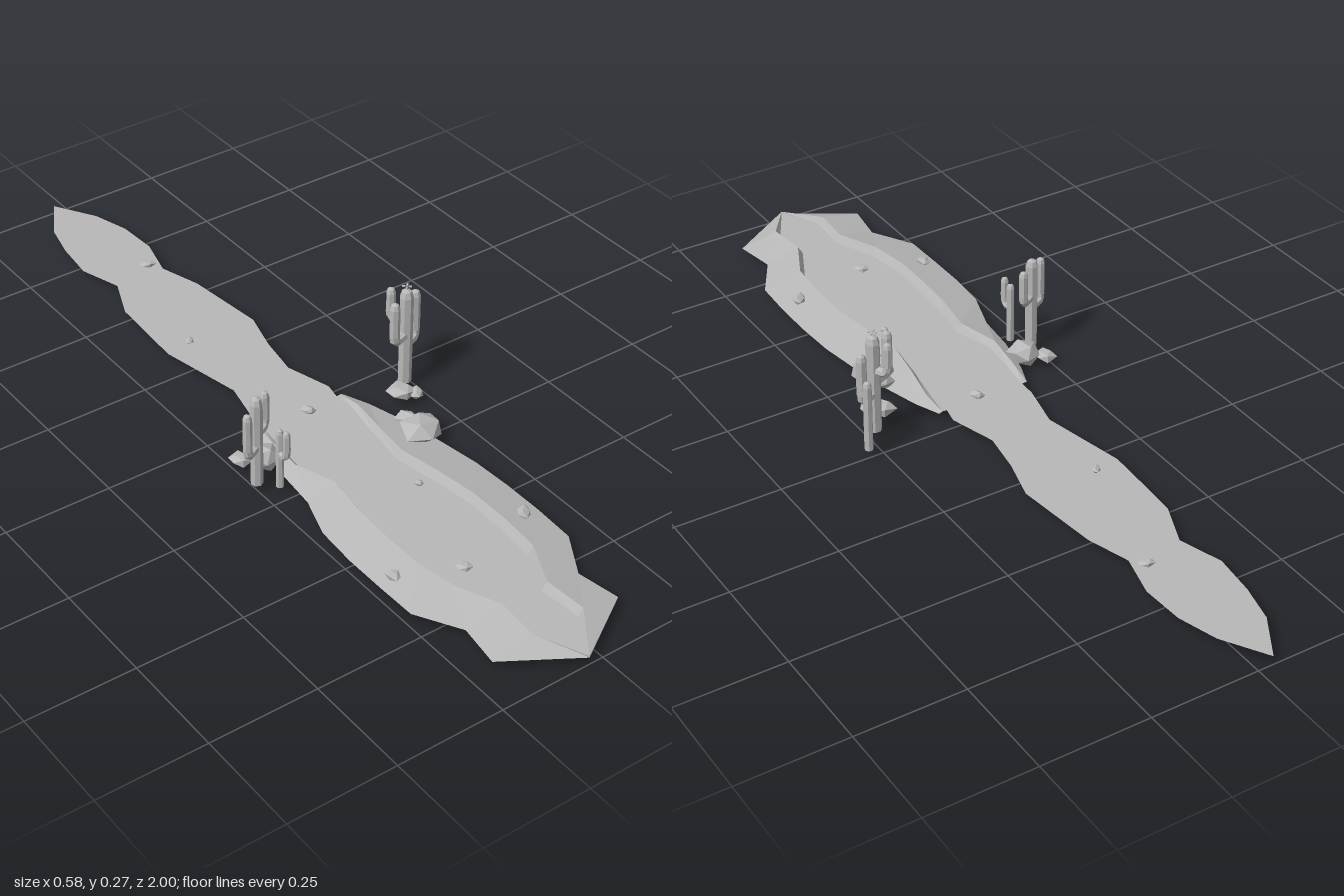
import * as THREE from 'three';

const grey = new THREE.MeshStandardMaterial({ color: 0xb8b8b8, flatShading: true, side: THREE.DoubleSide });
grey.name = 'stone grey';

function add(parent, name, geo, x = 0, y = 0, z = 0) {
  const m = new THREE.Mesh(geo, grey);
  m.name = name;
  m.position.set(x, y, z);
  parent.add(m);
  return m;
}

// Sheet between two edges, each a list of [x, y, z]
function strip(a, b) {
  const pos = [], idx = [];
  a.forEach((p, i) => {
    pos.push(...p, ...b[i]);
    if (i) { const k = 2 * i; idx.push(k - 2, k, k - 1, k - 1, k, k + 1); }
  });
  const g = new THREE.BufferGeometry();
  g.setAttribute('position', new THREE.Float32BufferAttribute(pos, 3));
  g.setIndex(idx);
  g.computeVertexNormals();
  return g;
}

// Faceted stone, its corners nudged by a rule so that shared corners stay joined
function rock(parent, name, x, y, z, sx, sy, sz, seed) {
  const g = new THREE.IcosahedronGeometry(1, 0);
  const p = g.attributes.position;
  for (let i = 0; i < p.count; i++) {
    const v = new THREE.Vector3().fromBufferAttribute(p, i);
    const k = 0.95 + 0.17 * Math.sin(v.x * 5.1 + v.y * 7.3 + v.z * 3.7 + seed * 2.4);
    p.setXYZ(i, v.x * k * sx, v.y * k * sy, v.z * k * sz);
  }
  g.computeVertexNormals();
  add(parent, name, g, x, y, z).rotation.y = seed;
}

// Upright stem with a tapered tip
function stem(parent, name, x, z, y0, y1, r) {
  const h = y1 - y0;
  const pts = [[0, 0], [r, 0], [r, h - 1.3 * r], [r * 0.72, h - 0.4 * r], [0, h]];
  add(parent, name, new THREE.LatheGeometry(pts.map(p => new THREE.Vector2(...p)), 7), x, y0, z);
}

// Arm leaving a trunk sideways, then bending upward
function arm(parent, tx, tz, x, z, y0, y1, r) {
  const bend = 0.022;
  const path = new THREE.CurvePath();
  const start = new THREE.Vector3(tx, y0 + 0.004, tz);
  const corner = new THREE.Vector3(x, y0, z);
  const inner = corner.clone().lerp(start, 0.4);
  const up = new THREE.Vector3(x, y0 + bend, z);
  path.add(new THREE.LineCurve3(start, inner));
  path.add(new THREE.QuadraticBezierCurve3(inner, corner, up));
  add(parent, 'armElbow', new THREE.TubeGeometry(path, 5, r, 7), 0, 0, 0);
  stem(parent, 'armStem', x, z, y0 + bend, y1, r);
}

export function createModel() {
  const model = new THREE.Group();
  model.name = 'desertRiverbed';
  const bedY = 0.022;

  // Rear bed outline: z, left edge, right edge
  const rear = [
    [-1, -0.035, -0.035], [-0.9, -0.095, 0.026], [-0.81, -0.116, 0.053], [-0.71, -0.127, 0.058],
    [-0.61, -0.095, 0.032], [-0.51, -0.137, 0.063], [-0.41, -0.143, 0.074], [-0.31, -0.148, 0.085],
    [-0.21, -0.127, 0.058], [-0.11, -0.106, 0.042], [0, -0.13, 0.074],
  ];
  // Front banks: z, left outer, left crest, right crest, right outer, crest height
  const front = [
    [0.04, -0.145, -0.143, 0.078, 0.085, 0.023], [0.1, -0.167, -0.15, 0.08, 0.11, 0.03],
    [0.2, -0.19, -0.16, 0.063, 0.138, 0.037], [0.3, -0.2, -0.13, 0.05, 0.155, 0.042],
    [0.4, -0.233, -0.145, 0.069, 0.17, 0.042], [0.5, -0.24, -0.15, 0.082, 0.175, 0.042],
    [0.6, -0.24, -0.15, 0.082, 0.175, 0.042], [0.7, -0.238, -0.134, 0.074, 0.17, 0.042],
    [0.8, -0.18, -0.09, 0.026, 0.11, 0.041], [0.9, -0.195, -0.097, 0.034, 0.127, 0.039],
    [1, -0.035, -0.035, -0.035, -0.035, 0.024],
  ];
  const lip = z => (z < 1 ? 0.012 : 0);
  const footL = front.map(([z, , c]) => [c + lip(z), bedY, z]);
  const footR = front.map(([z, , , c]) => [c - lip(z), bedY, z]);
  add(model, 'riverbed', strip(
    [...rear.map(([z, l]) => [l, bedY, z]), ...footL],
    [...rear.map(([z, , r]) => [r, bedY, z]), ...footR]));
  const crestL = front.map(([z, , c, , , h]) => [c, h, z]);
  const crestR = front.map(([z, , , c, , h]) => [c, h, z]);
  add(model, 'rightBankWall', strip(crestL, footL));
  add(model, 'leftBankWall', strip(footR, crestR));
  add(model, 'rightBankSlope', strip(front.map(r => [r[1], 0.019, r[0]]), crestL));
  add(model, 'leftBankSlope', strip(crestR, front.map(r => [r[4], 0.019, r[0]])));

  // Cactus group on the right bank
  const cactusA = new THREE.Group();
  cactusA.name = 'rightCactus';
  model.add(cactusA);
  stem(cactusA, 'trunk', -0.245, 0.18, 0.015, 0.24, 0.014);
  arm(cactusA, -0.245, 0.18, -0.281, 0.2, 0.108, 0.222, 0.0105);
  arm(cactusA, -0.245, 0.18, -0.21, 0.16, 0.138, 0.228, 0.0105);
  stem(cactusA, 'smallTrunk', -0.212, 0.217, 0.015, 0.165, 0.009);
  arm(cactusA, -0.212, 0.217, -0.211, 0.24, 0.1, 0.172, 0.009);

  // Cactus group on the left bank
  const cactusB = new THREE.Group();
  cactusB.name = 'leftCactus';
  model.add(cactusB);
  stem(cactusB, 'trunk', 0.231, 0.07, 0.015, 0.26, 0.016);
  arm(cactusB, 0.231, 0.07, 0.188, 0.085, 0.138, 0.247, 0.012);
  arm(cactusB, 0.231, 0.07, 0.27, 0.052, 0.108, 0.233, 0.012);
  arm(cactusB, 0.231, 0.07, 0.214, 0.036, 0.17, 0.252, 0.011);
  stem(cactusB, 'smallTrunk', 0.279, 0.012, 0.015, 0.19, 0.01);
  for (const [dx, dz] of [[-1, -1], [-1, 1], [1, -1], [1, 1]]) {
    const petal = add(cactusB, 'flowerPetal', new THREE.BoxGeometry(0.007, 0.003, 0.004),
      0.231 + dx * 0.005, 0.266, 0.07 + dz * 0.005);
    petal.rotation.y = -dx * dz * 0.7;
  }

  // Boulders beside the bed, then pebbles: x, y, z, half sizes
  const boulders = [
    [0.132, 0.037, 0.25, 0.055, 0.034, 0.052], [0.135, 0.032, 0.205, 0.028, 0.018, 0.026],
    [0.19, 0.029, 0.115, 0.036, 0.019, 0.028], [0.212, 0.028, 0.138, 0.022, 0.013, 0.018],
    [-0.195, 0.03, 0.13, 0.038, 0.031, 0.04], [-0.235, 0.026, 0.105, 0.026, 0.016, 0.022],
  ];
  const pebbles = [
    [-0.018, 0.027, 0.05, 0.017, 0.01, 0.015], [0.01, 0.028, -0.64, 0.02, 0.009, 0.013],
    [-0.085, 0.028, -0.32, 0.015, 0.007, 0.012], [0.022, 0.026, 0.39, 0.011, 0.007, 0.01],
    [-0.068, 0.027, 0.655, 0.018, 0.009, 0.015], [0.132, 0.036, 0.6, 0.021, 0.012, 0.02],
    [-0.205, 0.032, 0.6, 0.021, 0.011, 0.015],
  ];
  boulders.forEach((b, i) => rock(model, 'boulder', ...b, i + 1));
  pebbles.forEach((b, i) => rock(model, 'pebble', ...b, i + 2));
  return model;
}
